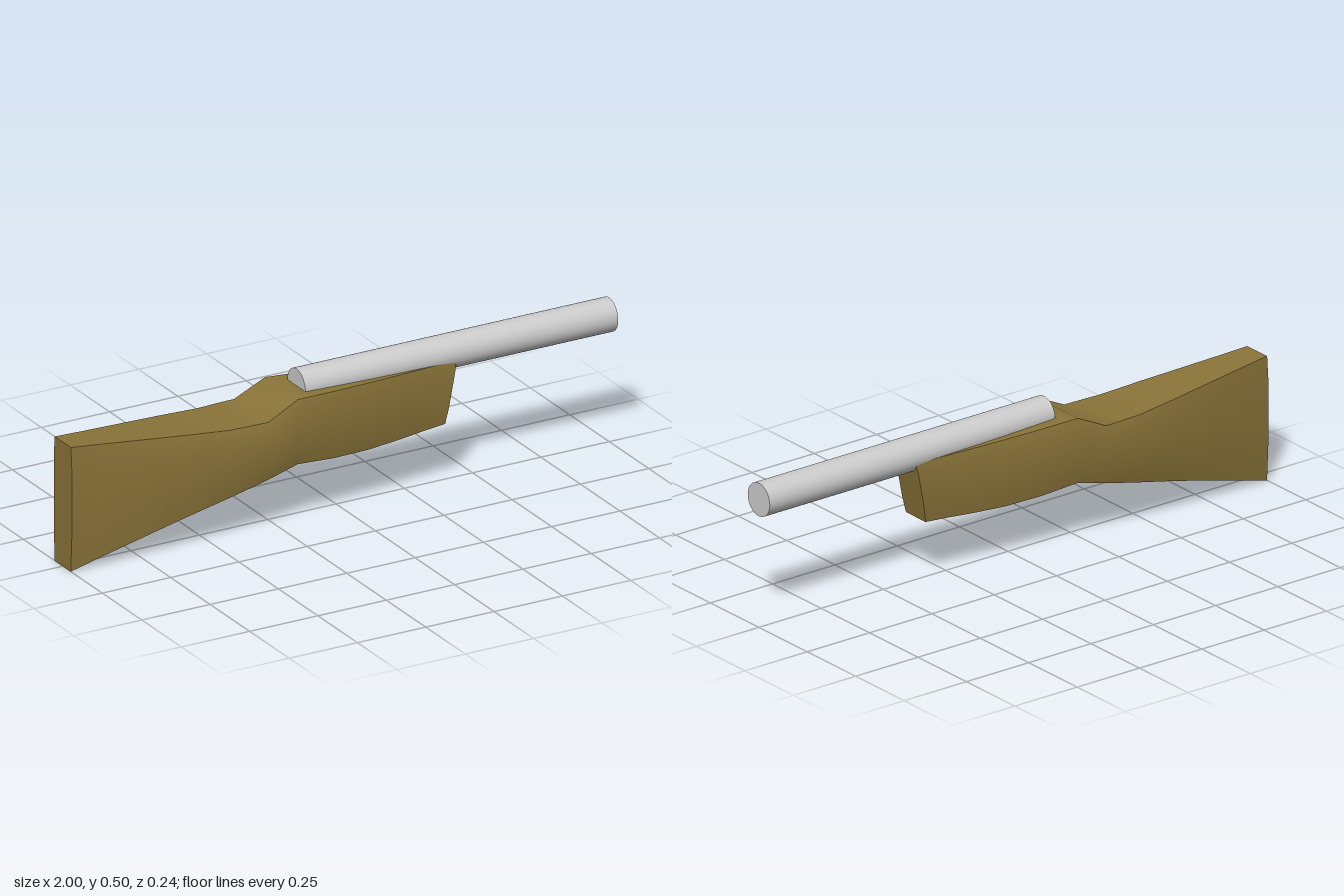
import * as THREE from 'three';
import { toCreasedNormals } from 'three/addons/utils/BufferGeometryUtils.js';

// Piecewise-linear value of a profile at x
function sample(profile, x) {
  for (let i = 1; i < profile.length; i++) {
    const [x0, y0] = profile[i - 1], [x1, y1] = profile[i];
    if (x <= x1) return THREE.MathUtils.lerp(y0, y1, (x - x0) / (x1 - x0));
  }
  return profile[profile.length - 1][1];
}

// Stock outline: top edge, bottom edge and half width along x
const TOP = [[-1, 0.428], [-0.45, 0.388], [-0.31, 0.388], [-0.2, 0.441], [0.07, 0.431], [0.41, 0.424]];
const BOTTOM = [[-1, 0], [-0.63, 0.108], [-0.2, 0.218], [-0.05, 0.205], [0.09, 0.2], [0.22, 0.204], [0.41, 0.215]];
const WIDTH = [[-1, 0.057], [-0.9, 0.067], [-0.6, 0.101], [-0.43, 0.116], [-0.31, 0.121], [-0.2, 0.116],
  [-0.05, 0.103], [0.2, 0.076], [0.32, 0.063], [0.41, 0.057]];
const STATIONS = [-1, -0.9, -0.76, -0.6, -0.45, -0.38, -0.31, -0.2, -0.12, -0.05, 0.09, 0.22, 0.32, 0.41];

// Side of a cross-section: [height fraction, width fraction]
const SIDE = [[0, 0.89], [0.28, 1], [0.83, 1], [1, 0.9]];
const RING = [...SIDE.map(([t, w]) => [t, -w]), ...[...SIDE].reverse()];

function stockGeometry() {
  const pos = [], index = [], n = RING.length;
  for (const x of STATIONS) {
    const top = sample(TOP, x), bottom = sample(BOTTOM, x), half = sample(WIDTH, x);
    const slant = 0.04 * Math.max(0, (x + 0.2) / 0.61); // raked front end
    for (const [t, w] of RING) {
      pos.push(x - slant * (1 - t), THREE.MathUtils.lerp(bottom, top, t), w * half);
    }
  }
  for (let i = 0; i < STATIONS.length - 1; i++) {
    for (let k = 0; k < n; k++) {
      const a = i * n + k, b = i * n + (k + 1) % n;
      index.push(a, b, b + n, a, b + n, a + n);
    }
  }
  // End caps
  const last = (STATIONS.length - 1) * n;
  for (let k = 1; k < n - 1; k++) {
    index.push(0, k + 1, k, last, last + k, last + k + 1);
  }
  const geo = new THREE.BufferGeometry();
  geo.setAttribute('position', new THREE.Float32BufferAttribute(pos, 3));
  geo.setIndex(index);
  return toCreasedNormals(geo, 0.65);
}

export function createModel() {
  const model = new THREE.Group();

  const stock = new THREE.Mesh(stockGeometry(), new THREE.MeshStandardMaterial({ color: 0x8a7439 }));
  stock.name = 'stock';

  // Barrel lying along x, half sunk into the stock
  const barrelGeo = new THREE.CylinderGeometry(0.057, 0.057, 1.145, 32).rotateZ(-Math.PI / 2);
  const barrel = new THREE.Mesh(barrelGeo, new THREE.MeshStandardMaterial({ color: 0xcccccc }));
  barrel.name = 'barrel';
  barrel.position.set(0.4275, 0.44, 0);

  model.add(stock, barrel);
  return model;
}
